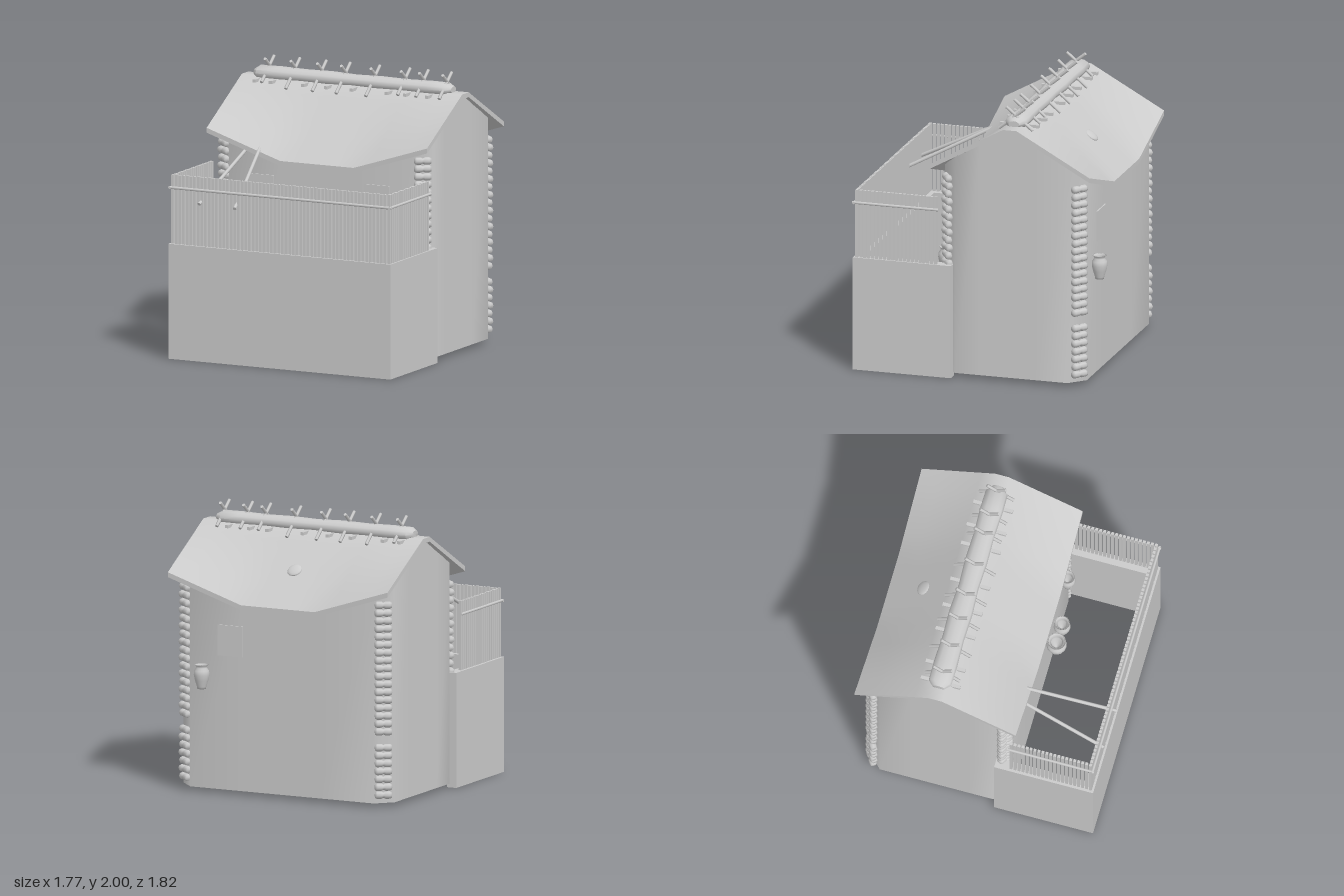
import * as THREE from 'three';
import { toCreasedNormals } from 'three/addons/utils/BufferGeometryUtils.js';

const RIDGE_Z = -0.28;
const mat = new THREE.MeshStandardMaterial({ color: 0xcccccc });
const matDouble = new THREE.MeshStandardMaterial({ color: 0xcccccc, side: THREE.DoubleSide });

// How far the thatch sags below its gable ends
function sag(x, z) {
  const middle = Math.min(1, Math.max(0, (0.88 - Math.abs(x)) / 0.587));
  const slope = Math.max(0, (Math.abs(z - RIDGE_Z) - 0.05) / 0.54);
  return 0.19 * middle * slope;
}
const roofY = (x, z) => 1.862 - 0.55 * Math.max(0, Math.abs(z - RIDGE_Z) - 0.05) - sag(x, z);

function add(parent, name, geometry, x = 0, y = 0, z = 0, material = mat) {
  const mesh = new THREE.Mesh(geometry, material);
  mesh.name = name;
  mesh.position.set(x, y, z);
  parent.add(mesh);
  return mesh;
}

function addGroup(parent, name) {
  const group = new THREE.Group();
  group.name = name;
  parent.add(group);
  return group;
}

// Round pole between two points
function pole(parent, name, a, b, r, sides = 8) {
  const from = new THREE.Vector3(...a), to = new THREE.Vector3(...b);
  const dir = to.clone().sub(from);
  const mid = from.clone().add(to).multiplyScalar(0.5);
  const mesh = add(parent, name, new THREE.CylinderGeometry(r, r, dir.length(), sides), mid.x, mid.y, mid.z);
  mesh.quaternion.setFromUnitVectors(new THREE.Vector3(0, 1, 0), dir.normalize());
  return mesh;
}

// Walls: an open shell with bevelled corners whose top follows the roof
function wallGeometry() {
  const half = [[0.84, -0.695], [0.84, -0.45], [0.84, -0.33], [0.84, -0.23], [0.84, -0.05], [0.84, 0.135],
    [0.73, 0.245], [0.3, 0.245]];
  const back = [[0.3, -0.805], [0.73, -0.805]];
  const right = [...back, ...half];
  const plan = [...right, ...right.map(([x, z]) => [-x, z]).reverse()];
  const pos = [], index = [], n = plan.length;
  for (const [x, z] of plan) pos.push(x, 0.03, z, x, roofY(x, z) - 0.025, z);
  for (let i = 0; i < n; i++) {
    const a = 2 * i, b = 2 * ((i + 1) % n);
    index.push(a, a + 1, b, b, a + 1, b + 1);
  }
  const g = new THREE.BufferGeometry();
  g.setAttribute('position', new THREE.Float32BufferAttribute(pos, 3));
  g.setIndex(index);
  g.computeVertexNormals();
  return g;
}

// Roof: chevron section extruded along x, then sagged
function roofGeometry() {
  const shape = new THREE.Shape();
  const zs = [-0.59, -0.45, -0.3, -0.15, -0.05, 0.05, 0.15, 0.3, 0.45, 0.59];
  const top = zs.map(d => new THREE.Vector2(d + RIDGE_Z, roofY(0.88, d + RIDGE_Z)));
  const under = top.map(p => new THREE.Vector2(p.x, p.y - 0.035)).reverse();
  shape.setFromPoints([...top, ...under]);
  const g = new THREE.ExtrudeGeometry(shape, { depth: 1.75, steps: 12, bevelEnabled: false });
  g.translate(0, 0, -0.875);
  g.rotateY(-Math.PI / 2);
  const p = g.attributes.position;
  for (let i = 0; i < p.count; i++) p.setY(i, p.getY(i) - sag(p.getX(i), p.getZ(i)));
  return toCreasedNormals(g, 0.8);
}

// Stacked corner logs, lying across each bevelled corner
function addCornerLogs(parent, sx, z, sz) {
  const stack = addGroup(parent, 'cornerLogs');
  const profile = [[0, -0.062], [0.02, -0.06], [0.027, -0.045], [0.027, -0.015], [0.019, 0],
    [0.027, 0.015], [0.027, 0.045], [0.02, 0.06], [0, 0.062]].map(p => new THREE.Vector2(...p));
  const g = new THREE.LatheGeometry(profile, 8);
  g.rotateZ(Math.PI / 2);
  for (let i = 0; i < 25; i++) {
    if (i === 7) continue;
    const log = add(stack, 'log', g, sx * 0.79, 0.09 + i * 0.0567, z);
    log.rotation.y = sx * sz * 0.62 + (i % 2 ? 0.06 : -0.06);
  }
}

function addRidge(parent) {
  const ridge = addGroup(parent, 'ridge');
  // Uneven ridge log
  const profile = [[0, -0.785], [0.045, -0.785], [0.082, -0.75], [0.085, -0.6], [0.078, -0.4], [0.084, -0.2],
    [0.072, 0], [0.08, 0.2], [0.074, 0.4], [0.082, 0.6], [0.08, 0.73], [0.04, 0.78], [0, 0.78]];
  const g = new THREE.LatheGeometry(profile.map(p => new THREE.Vector2(...p)), 12);
  g.rotateZ(-Math.PI / 2);
  g.scale(1, 0.6, 1);
  add(ridge, 'ridgeLog', toCreasedNormals(g, 0.9), 0, 1.88, RIDGE_Z);
  // Crossed sticks straddling the log
  [-0.68, -0.475, -0.265, -0.075, 0.16, 0.4, 0.545, 0.73].forEach((x, i) => {
    const drop = i > 0 && i < 5 ? 0.025 : 0;
    for (const s of [1, -1]) {
      pole(ridge, 'crossedStick', [x, 1.99, RIDGE_Z - s * 0.07],
        [x, 1.83 - drop, RIDGE_Z + s * (0.125 + drop)], 0.012, 6);
    }
  });
  // Short pegs under the log
  for (const x of [-0.73, -0.6, -0.345, -0.16, 0.04, 0.32, 0.465, 0.64]) {
    add(ridge, 'peg', new THREE.BoxGeometry(0.025, 0.022, 0.29), x, 1.838, RIDGE_Z);
  }
}

function addFence(parent) {
  const fence = addGroup(parent, 'fence');
  const picket = new THREE.BoxGeometry(0.02, 0.495, 0.02);
  for (let i = 0; i < 60; i++) add(fence, 'picket', picket, -0.86 + i * 0.0291, 1.0725, 0.855);
  for (const s of [1, -1]) {
    for (let i = 0; i < 20; i++) add(fence, 'picket', picket, s * 0.857, 1.0725, 0.825 - i * 0.0291);
    pole(fence, 'sideRail', [s * 0.872, 1.228, 0.885], [s * 0.872, 1.228, 0.25], 0.01);
  }
  pole(fence, 'frontRail', [-0.885, 1.228, 0.872], [0.885, 1.228, 0.872], 0.01);
}

function addPot(parent, x, y, z, r) {
  const profile = [[0, 0], [0.55, 0], [0.6, 0.015], [0.85, 0.06], [1, 0.1], [0.95, 0.13], [0.68, 0.15],
    [0.72, 0.165], [0.9, 0.172], [0.78, 0.172], [0.55, 0.15], [0.7, 0.1], [0, 0.03]];
  const g = new THREE.LatheGeometry(profile.map(([a, b]) => new THREE.Vector2(a * r, b)), 16);
  add(parent, 'pot', g, x, y, z, matDouble);
}

export function createModel() {
  const model = new THREE.Group();
  model.name = 'hut';
  add(model, 'walls', wallGeometry(), 0, 0, 0, matDouble);
  add(model, 'roof', roofGeometry());
  add(model, 'roofPatch', new THREE.SphereGeometry(0.055, 16, 8).scale(1, 0.3, 1), 0, roofY(0, -0.61), -0.61)
    .rotation.x = -0.65;
  addRidge(model);
  for (const sx of [1, -1]) {
    addCornerLogs(model, sx, 0.21, 1);
    addCornerLogs(model, sx, -0.77, -1);
  }

  // Yard wall on three sides
  const yard = addGroup(model, 'yardWall');
  const plan = [[-0.885, 0.155], [-0.81, 0.155], [-0.81, 0.81], [0.803, 0.81], [0.803, 0.155], [0.878, 0.155],
    [0.878, 0.88], [-0.885, 0.88]].map(([x, z]) => new THREE.Vector2(x, -z));
  const wall = new THREE.ExtrudeGeometry(new THREE.Shape(plan), { depth: 0.825, bevelEnabled: false });
  add(yard, 'wall', wall.rotateX(-Math.PI / 2));
  addFence(model);

  // Windows
  const pane = new THREE.BoxGeometry(0.2, 0.22, 0.012);
  add(model, 'frontWindowRight', pane, -0.475, 1.145, 0.248);
  add(model, 'frontWindowLeft', pane, 0.445, 1.145, 0.248);
  add(model, 'backWindow', pane, 0.41, 1.1, -0.808);

  // Poles leaning from the wall over the fence
  pole(model, 'leaningPole', [-0.568, 1.455, 0.24], [-0.638, 1.13, 0.885], 0.013);
  pole(model, 'leaningPole', [-0.475, 1.46, 0.25], [-0.348, 1.125, 0.9], 0.013);

  // Pots
  addPot(model, 0.125, 0.71, 0.33, 0.072);
  addPot(model, 0.267, 0.71, 0.33, 0.06);
  addPot(model, 0.61, 0.71, 0.275, 0.055);
  addPot(model, 0.61, 0.75, -0.862, 0.056);
  return model;
}
